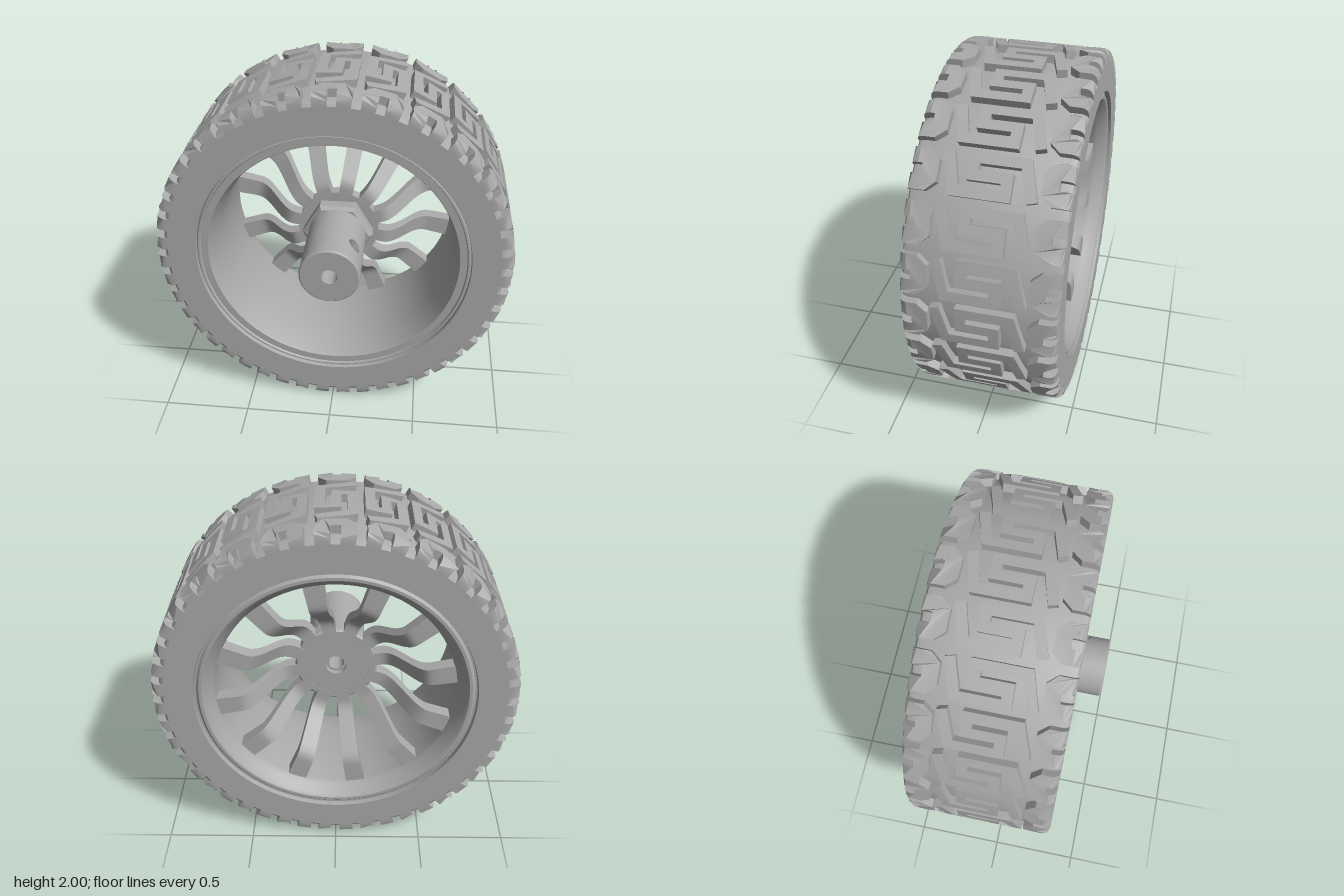
import * as THREE from 'three';
import { toCreasedNormals } from 'three/addons/utils/BufferGeometryUtils.js';
import { ParametricGeometry } from 'three/addons/geometries/ParametricGeometry.js';

const grey = new THREE.MeshStandardMaterial({ color: 0xaaaaaa, side: THREE.DoubleSide });
grey.name = 'grey';

const MID = -0.07;      // z of the tyre's middle plane
const HALF = 0.397;     // half the tyre's width
const LUGS = 24;        // tread repeats round the tyre
const SPOKES = 12;

function addMesh(parent, name, geometry) {
  const mesh = new THREE.Mesh(geometry, grey);
  mesh.name = name;
  parent.add(mesh);
  return mesh;
}

// Turned part round the z axis from [radius, z] pairs
function turned(profile, segments = 96, start = 0, length = Math.PI * 2) {
  const points = profile.map(([r, z]) => new THREE.Vector2(r, z));
  const geo = new THREE.LatheGeometry(points, segments, start, length);
  geo.rotateX(Math.PI / 2);
  return toCreasedNormals(geo, 0.5);
}

// Outline of a mitred stroke along a path of [s, z] points
function strokeShape(path, width) {
  const pts = path.map(([s, z]) => new THREE.Vector2(s, -z));
  const left = [], right = [];
  pts.forEach((p, i) => {
    const a = pts[Math.max(i - 1, 0)], b = pts[Math.min(i + 1, pts.length - 1)];
    const d1 = (i > 0 ? p.clone().sub(a) : b.clone().sub(p)).normalize();
    const d2 = (i < pts.length - 1 ? b.clone().sub(p) : d1.clone()).normalize();
    const n = new THREE.Vector2(-d1.y - d2.y, d1.x + d2.x).normalize();
    const reach = width / 2 / (n.x * -d1.y + n.y * d1.x);
    left.push(p.clone().addScaledVector(n, reach));
    right.unshift(p.clone().addScaledVector(n, -reach));
  });
  return new THREE.Shape([...left, ...right]);
}

// Tread lug: the stroke is raised, wrapped round the tyre and rounded at the shoulder
function lugGeometry(path, width) {
  const geo = new THREE.ExtrudeGeometry(strokeShape(path, width), { depth: 1, bevelEnabled: false });
  const pos = geo.attributes.position;
  for (let i = 0; i < pos.count; i++) {
    const z = -pos.getY(i), angle = pos.getX(i);
    const near = Math.max(0, 0.04 - (HALF - Math.abs(z - MID))) / 0.04;
    const drop = 0.04 * (1 - Math.sqrt(Math.max(0, 1 - near * near)));
    const r = pos.getZ(i) > 0.5 ? 1 - drop : 0.93;
    pos.setXYZ(i, r * Math.sin(angle), r * Math.cos(angle), z);
  }
  return toCreasedNormals(geo, 0.4);
}

function makeTyre() {
  const tyre = new THREE.Group();
  tyre.name = 'tyre';
  const back = MID - HALF, front = MID + HALF;
  addMesh(tyre, 'tyreBody', turned([
    [0.77, back], [0.93, back], [0.945, back + 0.01], [0.955, back + 0.035],
    [0.955, front - 0.035], [0.945, front - 0.01], [0.93, front], [0.77, front],
    [0.765, front - 0.03], [0.765, back + 0.03], [0.77, back],
  ], 120));

  // S-shaped centre lug and U-shaped shoulder lugs
  const half = [[0.1, -0.285], [-0.085, -0.235], [-0.085, 0.015], [0, 0.015]];
  const flip = path => path.map(([s, z]) => [-s, 2 * MID - z]);
  const centre = lugGeometry([...half, ...flip(half).reverse()], 0.054);
  const arm = [[0.04, 0.222], [0.065, 0.25], [0.065, 0.287], [0.065, 0.305], [0.065, 0.319], [0.065, front]];
  const shoulder = [...arm.map(([s, z]) => [-s, z]).reverse(), ...arm];
  const frontLug = lugGeometry(shoulder, 0.08);
  const backLug = lugGeometry(flip(shoulder), 0.08);
  for (let i = 0; i < LUGS; i++) {
    const angle = i / LUGS * Math.PI * 2;
    addMesh(tyre, 'centreLug', centre).rotation.z = angle;
    addMesh(tyre, 'frontShoulderLug', frontLug).rotation.z = angle;
    addMesh(tyre, 'backShoulderLug', backLug).rotation.z = angle;
  }
  return tyre;
}

function makeRim() {
  return turned([
    [0.768, -0.44], [0.768, 0.3], [0.76, 0.312], [0.75, 0.312], [0.745, 0.3],
    [0.705, 0.3], [0.7, 0.29], [0.668, 0.12], [0.662, -0.36],
    [0.672, -0.39], [0.695, -0.415], [0.71, -0.44], [0.725, -0.452],
    [0.742, -0.452], [0.755, -0.44], [0.768, -0.44],
  ], 120);
}

// Spoke: a box along x that sweeps back from the hub to the rim
function spokeGeometry() {
  const geo = new THREE.BoxGeometry(1, 1, 1, 18, 1, 1);
  const pos = geo.attributes.position;
  for (let i = 0; i < pos.count; i++) {
    const t = pos.getX(i) + 0.5;
    const r = THREE.MathUtils.lerp(0.19, 0.672, t);
    const sweep = THREE.MathUtils.smoothstep(r, 0.27, 0.53);
    const width = THREE.MathUtils.lerp(0.075, 0.11, t);
    pos.setXYZ(i, r, pos.getY(i) * width, -0.085 - 0.25 * sweep + pos.getZ(i) * 0.075);
  }
  return toCreasedNormals(geo, 0.5);
}

// Patch of the shaft wall with a round screw hole bored towards the axis
function screwHoleGeometry(R, hole, spread, z0, halfZ) {
  const geo = new ParametricGeometry((u, v, target) => {
    const c = Math.cos(u * Math.PI * 2), s = Math.sin(u * Math.PI * 2);
    const k = Math.max(Math.abs(c), Math.abs(s));
    const t = Math.min(1, v * 1.25);
    const a = THREE.MathUtils.lerp(spread * c / k, Math.asin(hole * c / R), t);
    const z = THREE.MathUtils.lerp(halfZ * s / k, hole * s, t);
    target.set(v > 0.9 ? 0.05 : R * Math.cos(a), R * Math.sin(a), z0 + z);
  }, 40, 5);
  return toCreasedNormals(geo, 0.6);
}

function makeHub() {
  const hub = new THREE.Group();
  hub.name = 'hub';
  const R = 0.168, bore = 0.045, spread = 0.6, holeAngle = 0.72;
  addMesh(hub, 'flange', turned([
    [0.06, -0.12], [0.225, -0.12], [0.235, -0.11], [0.235, -0.045],
    [bore, -0.045], [bore, -0.09], [0.06, -0.09], [0.06, -0.12],
  ], 64));

  // Hexagonal nut with a chamfered front
  const nut = new THREE.Group();
  nut.name = 'nut';
  nut.rotation.z = Math.PI / 2;
  addMesh(nut, 'nutBody', turned([[0.205, -0.05], [0.207, 0.02], [0.186, 0.04], [0.16, 0.04]], 6));
  hub.add(nut);

  // Shaft, left open where the screw hole patch sits
  addMesh(hub, 'shaftBase', turned([[R, -0.045], [R, 0.21]], 64));
  addMesh(hub, 'shaftEnd', turned([
    [R, 0.41], [R, 0.457], [R - 0.008, 0.465], [bore, 0.465], [bore, -0.05],
  ], 64));
  addMesh(hub, 'shaftMiddle', turned([[R, 0.21], [R, 0.41]], 56,
    holeAngle + Math.PI / 2 + spread, Math.PI * 2 - 2 * spread));
  addMesh(hub, 'screwHole', screwHoleGeometry(R, 0.042, spread, 0.31, 0.1)).rotation.z = holeAngle;
  return hub;
}

export function createModel() {
  const model = new THREE.Group();
  model.name = 'wheel';
  const wheel = new THREE.Group();
  wheel.name = 'wheelAssembly';
  wheel.position.y = 1;
  model.add(wheel);

  wheel.add(makeTyre());
  addMesh(wheel, 'rim', makeRim());
  wheel.add(makeHub());

  const spoke = spokeGeometry();
  for (let i = 0; i < SPOKES; i++) {
    addMesh(wheel, 'spoke', spoke).rotation.z = (20 + i * 360 / SPOKES) * Math.PI / 180;
  }
  return model;
}
